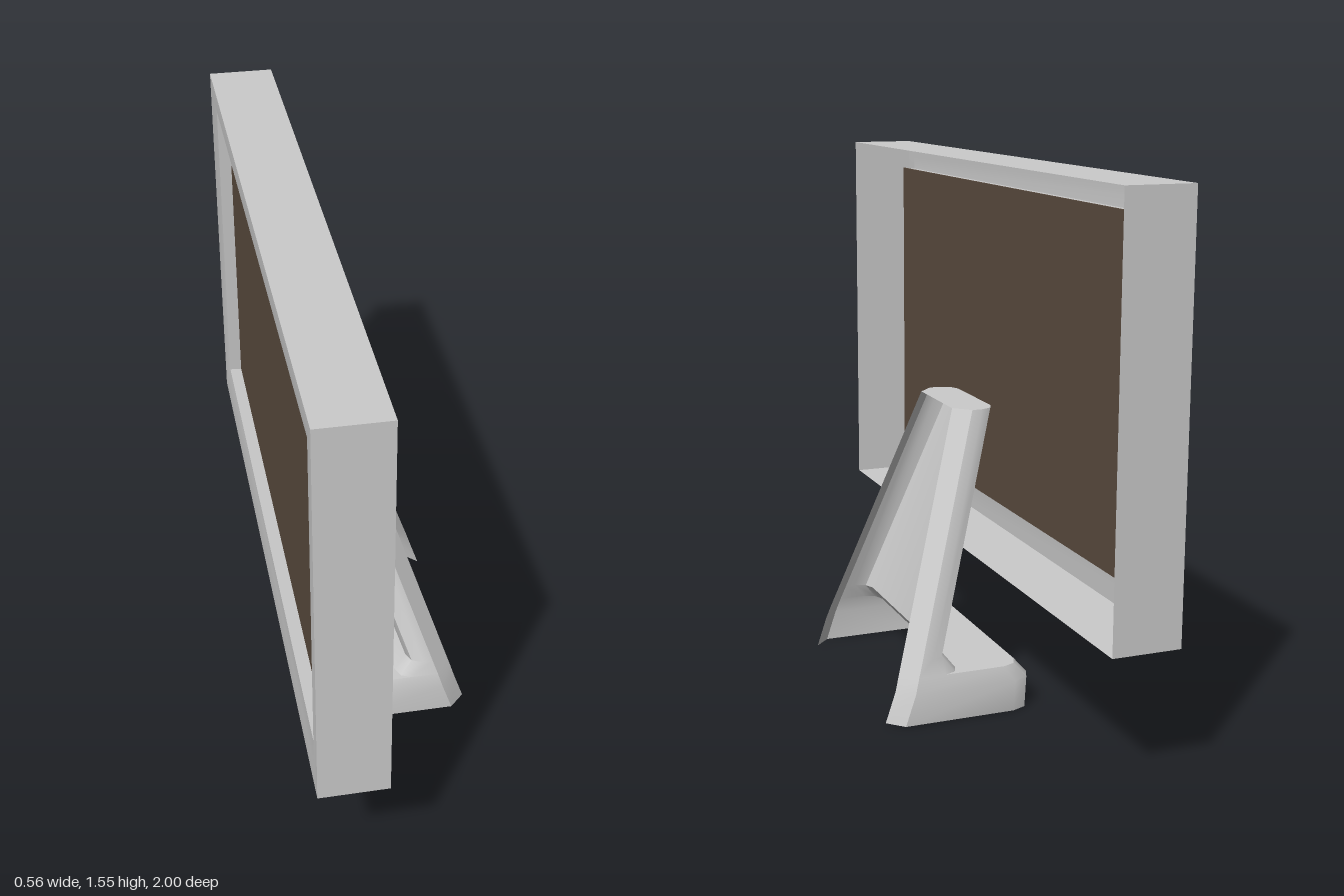
import * as THREE from 'three';
import { toCreasedNormals } from 'three/addons/utils/BufferGeometryUtils.js';

const grey = new THREE.MeshStandardMaterial({ color: 0xcccccc, side: THREE.DoubleSide });
const brown = new THREE.MeshStandardMaterial({ color: 0x5c4d40 });

// Joins equal-length rows of [x, y, z] points into a thin sheet.
function loft(rows, closed, crease) {
  const n = rows[0].length;
  const index = [];
  for (let r = 0; r < rows.length - 1; r++) {
    for (let i = 0; i < (closed ? n : n - 1); i++) {
      const a = r * n + i, b = r * n + (i + 1) % n;
      index.push(a, b, a + n, b, b + n, a + n);
    }
  }
  const geometry = new THREE.BufferGeometry();
  geometry.setAttribute('position', new THREE.Float32BufferAttribute(rows.flat(2), 3));
  geometry.setIndex(index);
  return toCreasedNormals(geometry, crease);
}

function add(group, name, geometry, material) {
  const mesh = new THREE.Mesh(geometry, material);
  mesh.name = name;
  group.add(mesh);
  return mesh;
}

// Rectangular ring of the housing at depth x, drawn in by an inset.
function housingRing([x, inset]) {
  const z = 1 - inset, low = 0.38 + inset * 1.25, high = 1.55 - inset;
  return [[x, low, -z], [x, low, z], [x, high, z], [x, high, -z]];
}

// Channel-shaped stand section with chamfered corners, open towards +x.
function standSection([y, front, back, half, corner]) {
  const side = [
    [back, half - 0.045],
    [back - 0.045, half],
    [front + corner, half],
    [front + corner * 0.3, half - corner * 0.3],
    [front, half - corner],
  ];
  return [
    ...side.map(([x, z]) => [x, y, z]),
    ...side.reverse().map(([x, z]) => [x, y, -z]),
  ];
}

export function createModel() {
  const model = new THREE.Group();
  model.name = 'monitor';

  // Hollow housing with a lipped bezel, open at the rear
  const rings = [[-0.09, 0], [-0.285, 0], [-0.285, 0.05], [-0.278, 0.09], [-0.24, 0.087]];
  add(model, 'housing', loft(rings.map(housingRing), true, 0.6), grey);

  // Display panel, visible from both sides
  const screen = add(model, 'screen', new THREE.BoxGeometry(0.006, 0.975, 1.826), brown);
  screen.position.set(-0.237, 0.977, 0);

  // Stand shell: y, front x, back x, half width, front corner size
  const stand = new THREE.Group();
  stand.name = 'stand';
  stand.position.z = -0.012;
  model.add(stand);
  const sections = [
    [0, -0.155, 0.28, 0.375, 0.06],
    [0.09, -0.16, 0.25, 0.375, 0.06],
    [0.135, -0.12, 0.236, 0.364, 0.05],
    [0.135, 0.065, 0.236, 0.364, 0.045],
    [0.18, 0.1, 0.221, 0.352, 0.045],
    [0.85, -0.12, 0, 0.172, 0.045],
  ].map(standSection);
  add(stand, 'standShell', loft(sections, false, 0.7), grey);

  // Lid closing the top of the stand
  const top = sections[sections.length - 1];
  const lid = new THREE.ShapeGeometry(new THREE.Shape(top.map(([x, , z]) => new THREE.Vector2(x, -z))));
  add(stand, 'standLid', lid.rotateX(-Math.PI / 2).translate(0, 0.85, 0), grey);

  return model;
}
